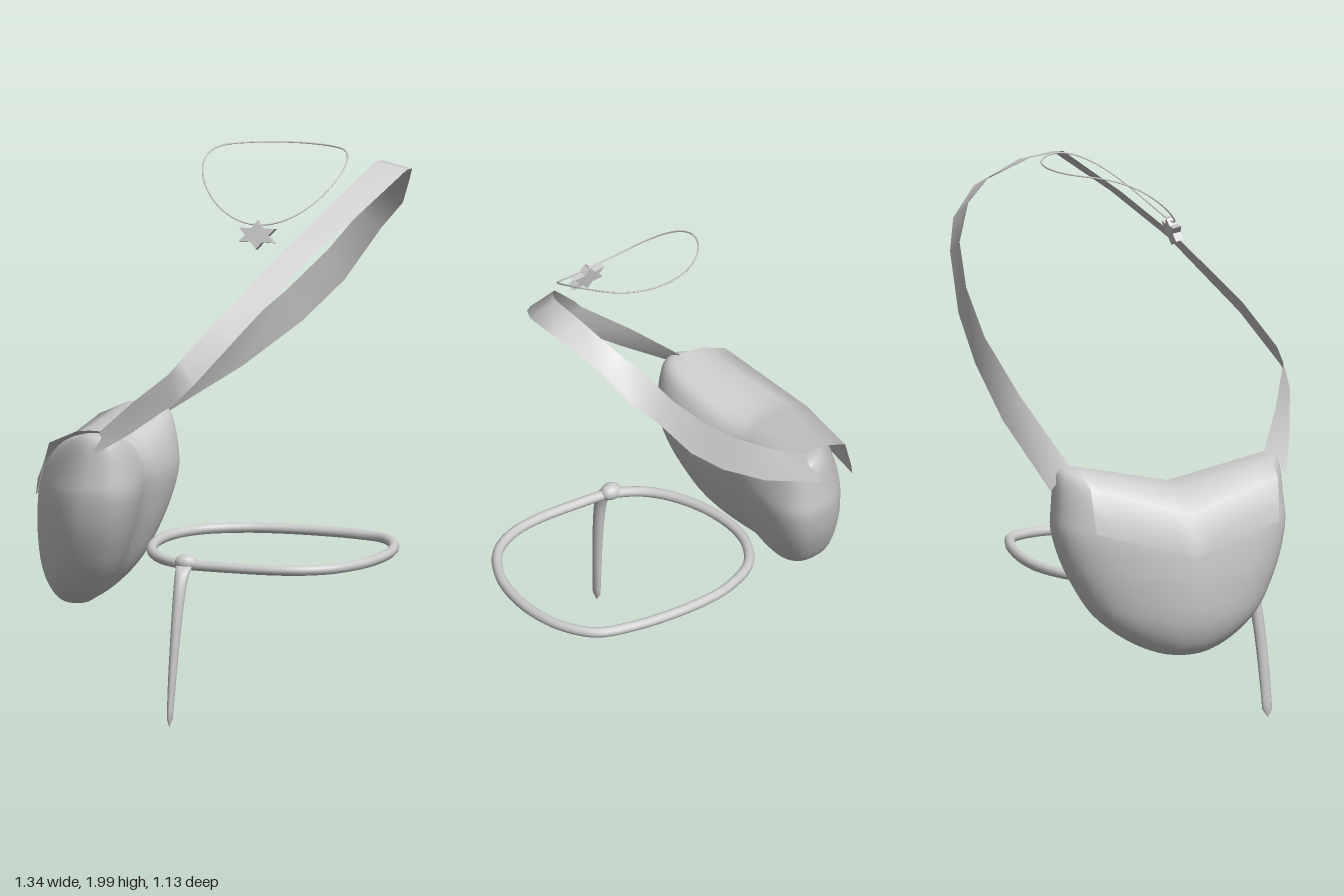
import * as THREE from 'three';

const V = (x, y, z) => new THREE.Vector3(x, y, z);
const grey = new THREE.MeshStandardMaterial({ color: 0xcccccc });
const thin = new THREE.MeshStandardMaterial({ color: 0xcccccc, side: THREE.DoubleSide });

// Skin a list of cross-sections (each a list of Vector3); closed joins each section into a ring
function loft(rows, closed) {
  const n = rows[0].length, pos = [], index = [];
  rows.forEach(r => r.forEach(p => pos.push(p.x, p.y, p.z)));
  for (let i = 0; i < rows.length - 1; i++) {
    for (let j = 0; j < (closed ? n : n - 1); j++) {
      const k = (j + 1) % n;
      const a = i * n + j, b = i * n + k, c = a + n, d = b + n;
      index.push(a, b, d, a, d, c);
    }
  }
  const g = new THREE.BufferGeometry();
  g.setAttribute('position', new THREE.Float32BufferAttribute(pos, 3));
  g.setIndex(index);
  g.computeVertexNormals();
  return g;
}

function add(group, name, geometry, material = grey) {
  const mesh = new THREE.Mesh(geometry, material);
  mesh.name = name;
  group.add(mesh);
  return mesh;
}

const sgnPow = (v, e) => Math.sign(v) * Math.abs(v) ** e;
const ZC = -0.012; // middle of the bag along z

// Pouch: rounded sections stacked in y, bent in a soft V around the hip
function pouchGeometry() {
  // half width, height, half thickness
  const profile = new THREE.CatmullRomCurve3([
    V(0.001, 0.36, 0.001), V(0.1, 0.376, 0.055), V(0.2, 0.42, 0.1), V(0.3, 0.5, 0.143),
    V(0.362, 0.6, 0.17), V(0.405, 0.7, 0.186), V(0.43, 0.81, 0.19), V(0.425, 0.88, 0.17),
    V(0.415, 0.93, 0.128), V(0.38, 0.954, 0.075), V(0.001, 0.956, 0.001)]);
  const rows = profile.getPoints(40).map(({ x: w, y, z: d }) => {
    const ring = [];
    const lift = 0.072 * THREE.MathUtils.smoothstep(y, 0.84, 0.95);
    for (let j = 0; j < 48; j++) {
      const a = j / 48 * Math.PI * 2;
      const z = -w * sgnPow(Math.sin(a), 0.8);
      const bend = 0.28 * (Math.hypot(z, 0.05) - 0.05);
      const x = -0.52 + 0.14 * (y - 0.36) + d * sgnPow(Math.cos(a), 0.8) + bend;
      ring.push(V(x, y + lift * Math.min(1, Math.abs(z) / 0.37), z + ZC));
    }
    return ring;
  });
  return loft(rows, true);
}

// Flap: profile blends from the middle of the bag to its raised ends
function flapGeometry() {
  const mid = [[-0.345, 0.957], [-0.42, 0.967], [-0.53, 0.957], [-0.63, 0.89], [-0.665, 0.8], [-0.672, 0.74]];
  const end = [[-0.34, 1.035], [-0.38, 1.036], [-0.43, 1.03], [-0.53, 0.985], [-0.56, 0.88], [-0.57, 0.83]];
  const rows = mid.map((m, i) => {
    const row = [];
    for (let j = -6; j <= 6; j++) {
      const t = j / 6, s = Math.abs(t);
      row.push(V(
        THREE.MathUtils.lerp(m[0], end[i][0], s),
        THREE.MathUtils.lerp(m[1], end[i][1], s),
        ZC + t * (0.365 - 0.005 * i)));
    }
    return row;
  });
  return loft(rows, false);
}

// Shoulder strap: pairs of edge points from the front end over the shoulder to the back end
function strapGeometry() {
  return loft([
    [V(-0.34, 1.035, 0.353), V(-0.36, 0.95, 0.43)],
    [V(-0.2, 1.155, 0.445), V(-0.19, 1.055, 0.5)],
    [V(-0.04, 1.28, 0.53), V(-0.01, 1.18, 0.565)],
    [V(0.0, 1.33, 0.52), V(0.06, 1.25, 0.555)],
    [V(0.12, 1.47, 0.435), V(0.2, 1.42, 0.45)],
    [V(0.3, 1.69, 0.245), V(0.405, 1.67, 0.245)],
    [V(0.43, 1.835, 0.085), V(0.545, 1.815, 0.085)],
    [V(0.55, 1.97, -0.09), V(0.665, 1.945, -0.09)],
    [V(0.54, 1.955, -0.22), V(0.65, 1.93, -0.22)],
    [V(0.51, 1.905, -0.38), V(0.59, 1.86, -0.41)],
    [V(0.45, 1.83, -0.48), V(0.54, 1.76, -0.505)],
    [V(0.37, 1.71, -0.54), V(0.45, 1.66, -0.548)],
    [V(0.25, 1.57, -0.557), V(0.31, 1.465, -0.565)],
    [V(0.1, 1.42, -0.54), V(0.16, 1.315, -0.555)],
    [V(-0.1, 1.24, -0.475), V(-0.05, 1.15, -0.525)],
    [V(-0.34, 1.035, -0.377), V(-0.36, 0.95, -0.452)],
  ], false);
}

// Belt loop: slightly tilted closed cord
function beltGeometry() {
  const outline = [[-0.24, -0.05], [-0.218, -0.19], [-0.14, -0.305], [0, -0.367], [0.12, -0.378], [0.26, -0.368],
    [0.4, -0.34], [0.52, -0.29], [0.592, -0.18], [0.62, -0.05], [0.613, 0.08], [0.578, 0.2], [0.5, 0.313],
    [0.4, 0.368], [0.28, 0.383], [0.1, 0.366], [-0.02, 0.343], [-0.13, 0.268], [-0.208, 0.13]];
  const path = new THREE.CatmullRomCurve3(outline.map(([x, z]) => V(x, 0.582 - 0.036 * z, z)), true);
  return new THREE.TubeGeometry(path, 120, 0.0185, 12, true);
}

// Hanging belt end: horizontal sections from the tip up to the knot
function beltEndGeometry() {
  const path = new THREE.CatmullRomCurve3([
    V(-0.056, 0.005, 0.466), V(-0.05, 0.15, 0.456), V(-0.04, 0.35, 0.436),
    V(-0.033, 0.49, 0.41), V(-0.03, 0.55, 0.38), V(-0.03, 0.572, 0.345)]);
  const rows = [];
  for (let i = 0; i <= 24; i++) {
    const t = i / 24, c = path.getPoint(t), ring = [];
    const taper = i === 0 || i === 24 ? 0.01 : 1;
    for (let j = 0; j < 14; j++) {
      const a = j / 14 * Math.PI * 2;
      const rx = (0.009 + 0.023 * t) * taper, rz = (0.018 + 0.008 * t) * taper;
      ring.push(V(c.x + rx * Math.cos(a), c.y, c.z - rz * Math.sin(a)));
    }
    rows.push(ring);
  }
  return loft(rows, true);
}

// Necklace cord: flat at the nape, dropping towards the front
function necklaceGeometry() {
  const pts = [];
  for (let i = 0; i < 40; i++) {
    const a = i / 40 * Math.PI * 2, z = -0.045 + 0.233 * Math.sin(a);
    const s = Math.max(0, z + 0.2) / 0.39;
    pts.push(V(0.195 + 0.258 * Math.cos(a), 1.997 - 0.228 * s * s, z));
  }
  return new THREE.TubeGeometry(new THREE.CatmullRomCurve3(pts, true), 120, 0.003, 6, true);
}

// Thick six-pointed star pendant
function starGeometry() {
  const shape = new THREE.Shape();
  for (let i = 0; i < 12; i++) {
    const a = Math.PI / 2 + i * Math.PI / 6, r = i % 2 ? 0.56 : 1;
    shape[i ? 'lineTo' : 'moveTo'](0.076 * r * Math.cos(a), 0.05 * r * Math.sin(a));
  }
  return new THREE.ExtrudeGeometry(shape, { depth: 0.03, bevelEnabled: false }).translate(0, 0, -0.015);
}

export function createModel() {
  const model = new THREE.Group();
  model.name = 'accessories';

  const bag = new THREE.Group();
  bag.name = 'shoulderBag';
  add(bag, 'pouch', pouchGeometry());
  add(bag, 'flap', flapGeometry(), thin);
  add(bag, 'shoulderStrap', strapGeometry(), thin);

  const belt = new THREE.Group();
  belt.name = 'belt';
  add(belt, 'beltLoop', beltGeometry());
  add(belt, 'beltEnd', beltEndGeometry());
  const knot = add(belt, 'beltKnot', new THREE.SphereGeometry(0.034, 16, 12));
  knot.position.set(-0.027, 0.577, 0.345);
  knot.scale.set(1.2, 0.9, 0.95);

  const necklace = new THREE.Group();
  necklace.name = 'necklace';
  add(necklace, 'necklaceCord', necklaceGeometry());
  const star = add(necklace, 'starPendant', starGeometry());
  star.position.set(0.195, 1.735, 0.197);
  star.rotation.x = -0.2;
  const ring = add(necklace, 'pendantRing', new THREE.TorusGeometry(0.01, 0.003, 6, 16));
  ring.position.set(0.195, 1.776, 0.187);
  ring.rotation.y = Math.PI / 2;

  model.add(bag, belt, necklace);
  return model;
}
